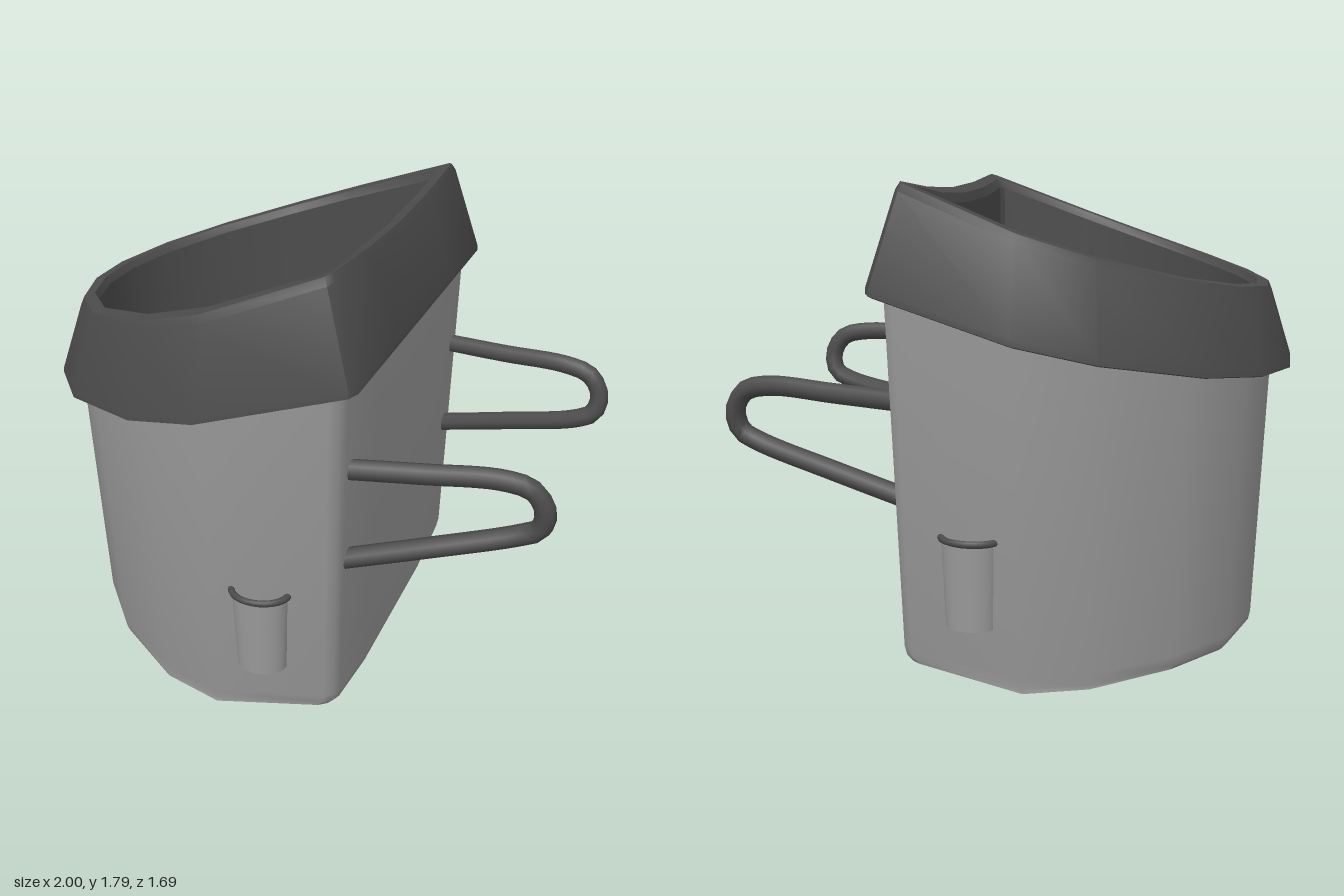
import * as THREE from 'three';
import { toCreasedNormals } from 'three/addons/utils/BufferGeometryUtils.js';

const bodyMat = new THREE.MeshStandardMaterial({ color: 0x999999, side: THREE.DoubleSide });
const darkMat = new THREE.MeshStandardMaterial({ color: 0x4c4c4c, side: THREE.DoubleSide });

// Half outlines in plan [x, z], from the middle of the flat side round to the curved end
const BODY = [[0.34, 0], [0.34, 0.37], [0.34, 0.67], [0.328, 0.71], [0.295, 0.732], [-0.13, 0.79], [-0.38, 0.74], [-0.67, 0.56], [-0.85, 0.35], [-0.93, 0.1]];
const RIM = [[0.388, 0], [0.388, 0.33], [0.388, 0.715], [0.368, 0.748], [-0.13, 0.845], [-0.4, 0.79], [-0.73, 0.6], [-0.91, 0.38], [-1, 0.11]];
const CREST = [[0.285, 0], [0.285, 0.33], [0.285, 0.655], [0.268, 0.685], [-0.13, 0.765], [-0.38, 0.71], [-0.66, 0.54], [-0.83, 0.33], [-0.915, 0.1]];
const INNER = [[0.218, 0], [0.22, 0.3], [0.225, 0.58], [0.21, 0.6], [-0.14, 0.67], [-0.38, 0.62], [-0.63, 0.475], [-0.79, 0.28], [-0.855, 0.09]];

// Height rules
const hemY = (x) => 1.13 + 0.169 * (x + 1) + 0.066 * (x + 1) * (x + 0.35);
const crestY = (x, z) => 1.425 + 0.262 * (x + 0.91) + 0.0907 * (x + 0.91) * (x + 0.3)
  - (x > 0.19 ? 0.038 * Math.max(0, 1 - (z / 0.6) ** 2) : 0);
const baseY = (x, z) => 0.005 + (x < -0.2 ? 0.2 * (-0.2 - x) : 0.165 * (x + 0.2))
  + 0.17 * Math.max(0, Math.abs(z) - 0.37);

// Mirror a half outline into a closed ring, scaled about x = cx
function ring(half, scale, yRule, cx = -0.3) {
  const all = [...half.map(([x, z]) => [x, -z]), ...half.slice(1).reverse()];
  return all.map(([x, z]) => {
    const px = cx + (x - cx) * scale, pz = z * scale;
    return [px, yRule(px, pz), pz];
  });
}

// Skin consecutive rings
function loft(rings, crease) {
  const n = rings[0].length, index = [];
  for (let r = 0; r < rings.length - 1; r++) {
    for (let i = 0; i < n; i++) {
      const a = r * n + i, b = r * n + (i + 1) % n;
      index.push(a, b, a + n, b, b + n, a + n);
    }
  }
  const g = new THREE.BufferGeometry();
  g.setAttribute('position', new THREE.Float32BufferAttribute(rings.flat(2), 3));
  g.setIndex(index);
  return toCreasedNormals(g, crease);
}

function add(parent, name, geometry, material) {
  const m = new THREE.Mesh(geometry, material);
  m.name = name;
  parent.add(m);
  return m;
}

// Half-round side pocket with a dark lip
function pocket(side) {
  const g = new THREE.Group();
  g.name = side > 0 ? 'leftPocket' : 'rightPocket';
  add(g, 'pocketCup', new THREE.CylinderGeometry(0.103, 0.09, 0.31, 16, 1, true, -Math.PI / 2, Math.PI), bodyMat);
  const floor = add(g, 'pocketFloor', new THREE.CircleGeometry(0.09, 16, Math.PI, Math.PI), bodyMat);
  floor.rotation.x = -Math.PI / 2;
  floor.position.y = -0.155;
  const lip = add(g, 'pocketLip', new THREE.TorusGeometry(0.104, 0.013, 8, 16, Math.PI), darkMat);
  lip.rotation.x = Math.PI / 2;
  lip.position.y = 0.16;
  g.scale.z = 0.75;
  g.position.set(0.038, 0.455, side > 0 ? 0.724 : -0.708);
  g.rotation.y = side > 0 ? 0.1 : Math.PI - 0.1;
  return g;
}

// Bent tube handle on the flat side
function handle(side) {
  const drop = side > 0 ? 0 : 0.045, low = side > 0 ? 0.62 : 0.58;
  const path = [
    [0.28, 1.1, 0.62], [0.56, 1.11, 0.57], [0.82, 1.12, 0.53], [0.92, 1.095, 0.518], [0.965, 1.02, 0.51],
    [0.95, 0.945, 0.5], [0.88, 0.905, 0.5], [0.58, 0.82, (0.5 + low) / 2], [0.28, 0.74, low],
  ].map(([x, y, z]) => new THREE.Vector3(x, y - drop, side * z));
  return new THREE.TubeGeometry(new THREE.CatmullRomCurve3(path), 40, 0.037, 8);
}

export function createModel() {
  const model = new THREE.Group();
  model.name = 'bucket';

  // Tapered body with a shallow domed underside
  const base = BODY.map(([x, z]) => [-0.3 + (x + 0.3) * 0.9, z * 0.935]);
  add(model, 'body', loft([
    ...[0, 0.25, 0.5, 0.75, 1].map((t) => ring(base, t, baseY, -0.2)),
    ring(BODY, 0.932, (x, z) => baseY(x, z) + 0.015),
    ring(BODY, 0.943, (x, z) => baseY(x, z) + 0.05),
    ring(BODY, 0.998, (x) => hemY(x) + 0.03),
  ], 1), bodyMat);

  // Sloping collar that rolls over into the inner liner
  add(model, 'collar', loft([
    ring(RIM, 0.9, (x) => hemY(x) + 0.02),
    ring(RIM, 0.985, hemY),
    ring(RIM, 1, (x) => hemY(x) + 0.005),
    ring(RIM, 0.998, (x) => hemY(x) + 0.025),
    ring(CREST, 1.012, (x, z) => crestY(x, z) - 0.03),
    ring(CREST, 0.99, crestY),
    ring(INNER, 1.025, crestY),
    ring(INNER, 1, (x, z) => crestY(x, z) - 0.03),
  ], 0.8), darkMat);
  add(model, 'liner', loft([
    ring(INNER, 1, (x, z) => crestY(x, z) - 0.03),
    ring(INNER, 0.98, () => 0.22),
    ring(INNER, 0, () => 0.22),
  ], 0.6), darkMat);

  for (const side of [1, -1]) {
    model.add(pocket(side));
    add(model, side > 0 ? 'leftHandle' : 'rightHandle', handle(side), darkMat);
  }
  return model;
}
